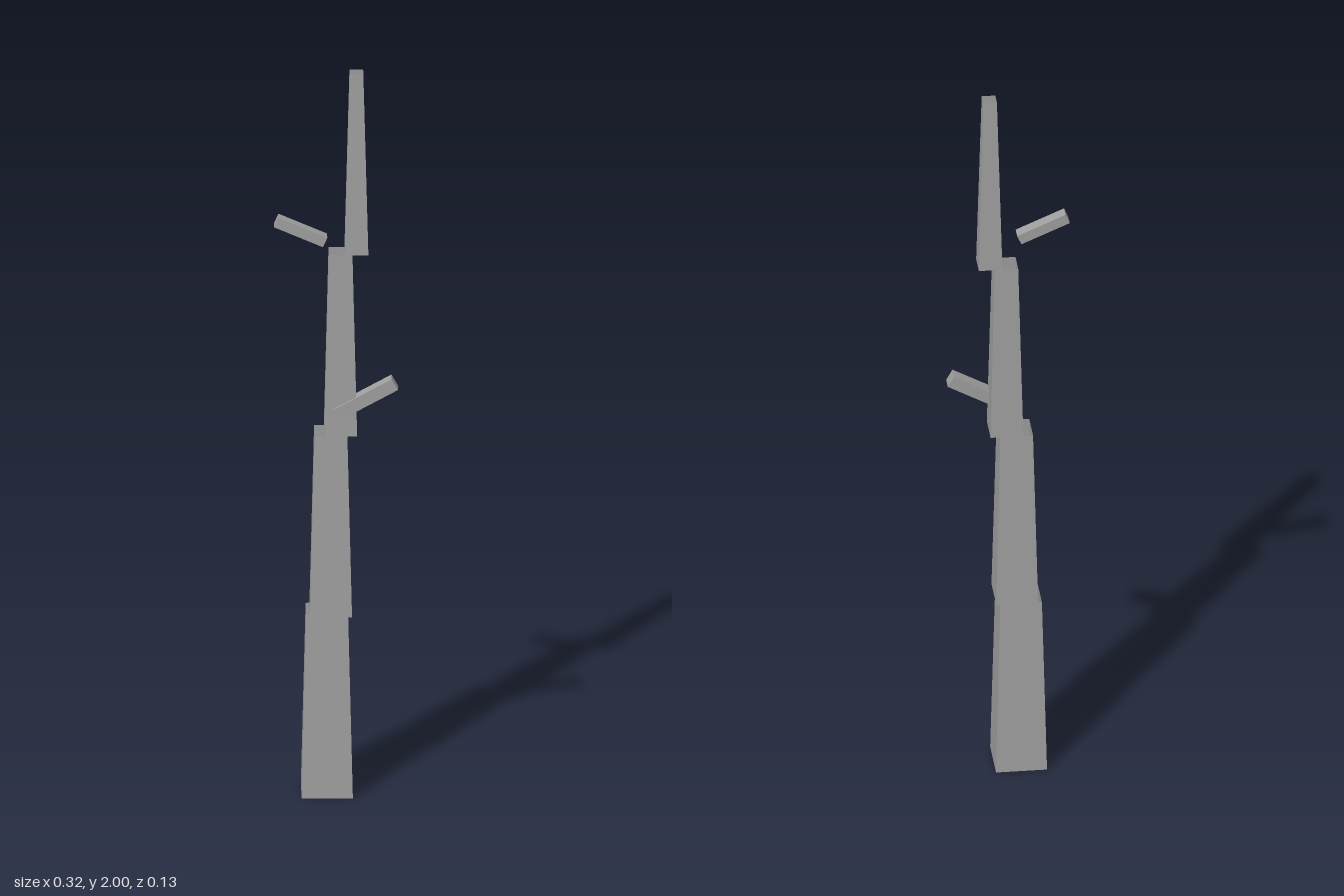
import * as THREE from 'three';

export function createModel() {
  const model = new THREE.Group();
  model.name = 'bareTree';
  const bark = new THREE.MeshStandardMaterial({ color: 0xa0a0a0, side: THREE.DoubleSide, flatShading: true });
  bark.name = 'grey bark';

  const add = (name, geometry, x, y, z, tilt = 0) => {
    const mesh = new THREE.Mesh(geometry, bark);
    mesh.name = name;
    mesh.position.set(x, y, z);
    mesh.rotation.z = THREE.MathUtils.degToRad(tilt);
    model.add(mesh);
  };

  // Trunk: four open, tapering square tubes, each shifted a little sideways
  const height = 0.5;
  const halfWidths = [0.067, 0.055, 0.043, 0.031, 0.018];
  const centres = [-0.024, -0.014, 0.0115, 0.053];
  centres.forEach((x, i) => {
    const tube = new THREE.CylinderGeometry(
      halfWidths[i + 1] * Math.SQRT2, halfWidths[i] * Math.SQRT2, height, 4, 1, true);
    tube.rotateY(Math.PI / 4);
    add(`trunkSection${i + 1}`, tube, x, height * (i + 0.5), 0);
  });

  // Base closing the lowest section
  const base = new THREE.PlaneGeometry(halfWidths[0] * 2, halfWidths[0] * 2);
  base.rotateX(Math.PI / 2);
  add('trunkBase', base, centres[0], 0, 0);

  // Two square branches
  add('lowerBranch', new THREE.BoxGeometry(0.174, 0.034, 0.037), 0.0765, 1.103, 0.029, 29);
  add('upperBranch', new THREE.BoxGeometry(0.139, 0.028, 0.034), -0.093, 1.577, 0.049, -23.7);

  return model;
}
